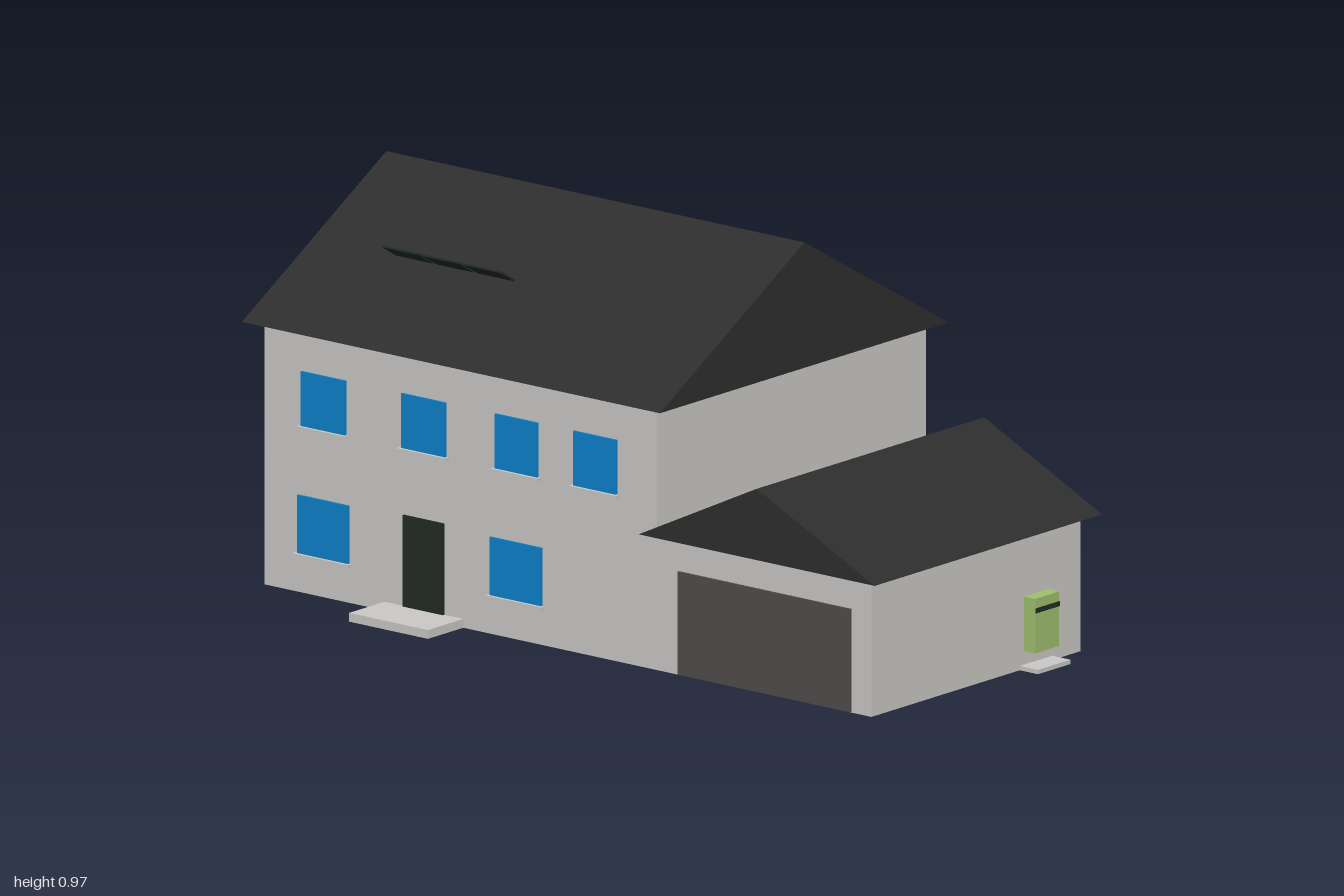
import * as THREE from 'three';

export function createModel() {
  const house = new THREE.Group();
  house.name = 'house';

  const mat = (name, color) => {
    const m = new THREE.MeshStandardMaterial({ color });
    m.name = name;
    return m;
  };
  const wall = mat('wall grey', 0xcbcac7);
  const roof = mat('roof charcoal', 0x2e2e2e);
  const glass = mat('window blue', 0x0d82cc);
  const dark = mat('dark green', 0x222c23);
  const shutter = mat('garage door brown grey', 0x524d4b);
  const lime = mat('light green', 0xa0c16f);

  const add = (name, geometry, material) => {
    const mesh = new THREE.Mesh(geometry, material);
    mesh.name = name;
    house.add(mesh);
    return mesh;
  };
  // Box given by its limits on each axis
  const box = (name, m, x0, x1, y0, y1, z0, z1) => {
    const mesh = add(name, new THREE.BoxGeometry(x1 - x0, y1 - y0, z1 - z0), m);
    mesh.position.set((x0 + x1) / 2, (y0 + y1) / 2, (z0 + z1) / 2);
    return mesh;
  };
  // Solid gable prism with its ridge along z, from z = 0 to z = length
  const gable = (a, b, ridge, y0, y1, length) => {
    const s = new THREE.Shape([
      new THREE.Vector2(a, y0), new THREE.Vector2(b, y0), new THREE.Vector2(ridge, y1),
    ]);
    return new THREE.ExtrudeGeometry(s, { depth: length, bevelEnabled: false });
  };

  // Main house and garage bodies
  box('mainWalls', wall, -0.96, 0.27, 0, 0.656, -0.553, 0.46);
  box('garageWalls', wall, 0.26, 0.943, 0, 0.341, -0.327, 0.46);

  // Roofs: the main ridge runs along x, the garage ridge along z
  const mainRoof = add('mainRoof', gable(-0.496, 0.59, 0.047, 0.655, 0.968, 1.31), roof);
  mainRoof.rotation.y = Math.PI / 2;
  mainRoof.position.x = -1;
  add('garageRoof', gable(0.24, 0.98, 0.61, 0.34, 0.518, 0.855), roof).position.z = -0.363;

  // Front windows with sills: left edge, right edge, bottom, top
  const windows = [
    [-0.842, -0.703, 0.417, 0.553], [-0.527, -0.388, 0.417, 0.553],
    [-0.233, -0.1, 0.417, 0.553], [0.013, 0.147, 0.417, 0.553],
    [-0.853, -0.693, 0.098, 0.243], [-0.249, -0.088, 0.098, 0.243],
  ];
  for (const [x0, x1, y0, y1] of windows) {
    box('frontWindow', glass, x0, x1, y0, y1, 0.46, 0.466);
    box('windowSill', wall, x0 - 0.007, x1 + 0.007, y0 - 0.008, y0, 0.46, 0.474);
  }

  // Side window in a shallow frame
  box('sideWindowFrame', wall, -0.972, -0.96, 0.418, 0.553, -0.105, 0.036);
  box('sideWindow', glass, -0.975, -0.972, 0.418, 0.553, -0.105, 0.036);

  // Front door, doorstep and garage door
  box('frontDoor', dark, -0.522, -0.395, 0.02, 0.25, 0.46, 0.466);
  box('doorstep', wall, -0.583, -0.336, 0, 0.022, 0.46, 0.593);
  box('garageDoor', shutter, 0.34, 0.88, 0.002, 0.259, 0.46, 0.466);

  // Tilted roof panels, rising towards the front
  for (let i = 0; i < 3; i++) {
    const panel = add('roofPanel', new THREE.BoxGeometry(0.115, 0.005, 0.072), dark);
    panel.position.set(-0.683 + i * 0.128, 0.826, 0.25);
    panel.rotation.x = -0.54;
  }

  // Wall cabinet with a dark stripe, above a small slab
  box('wallCabinet', lime, 0.943, 0.979, 0.045, 0.181, -0.203, -0.113);
  box('cabinetStripe', dark, 0.979, 0.981, 0.145, 0.157, -0.203, -0.113);
  box('cabinetSlab', wall, 0.943, 1, 0, 0.011, -0.22, -0.098);

  return house;
}
